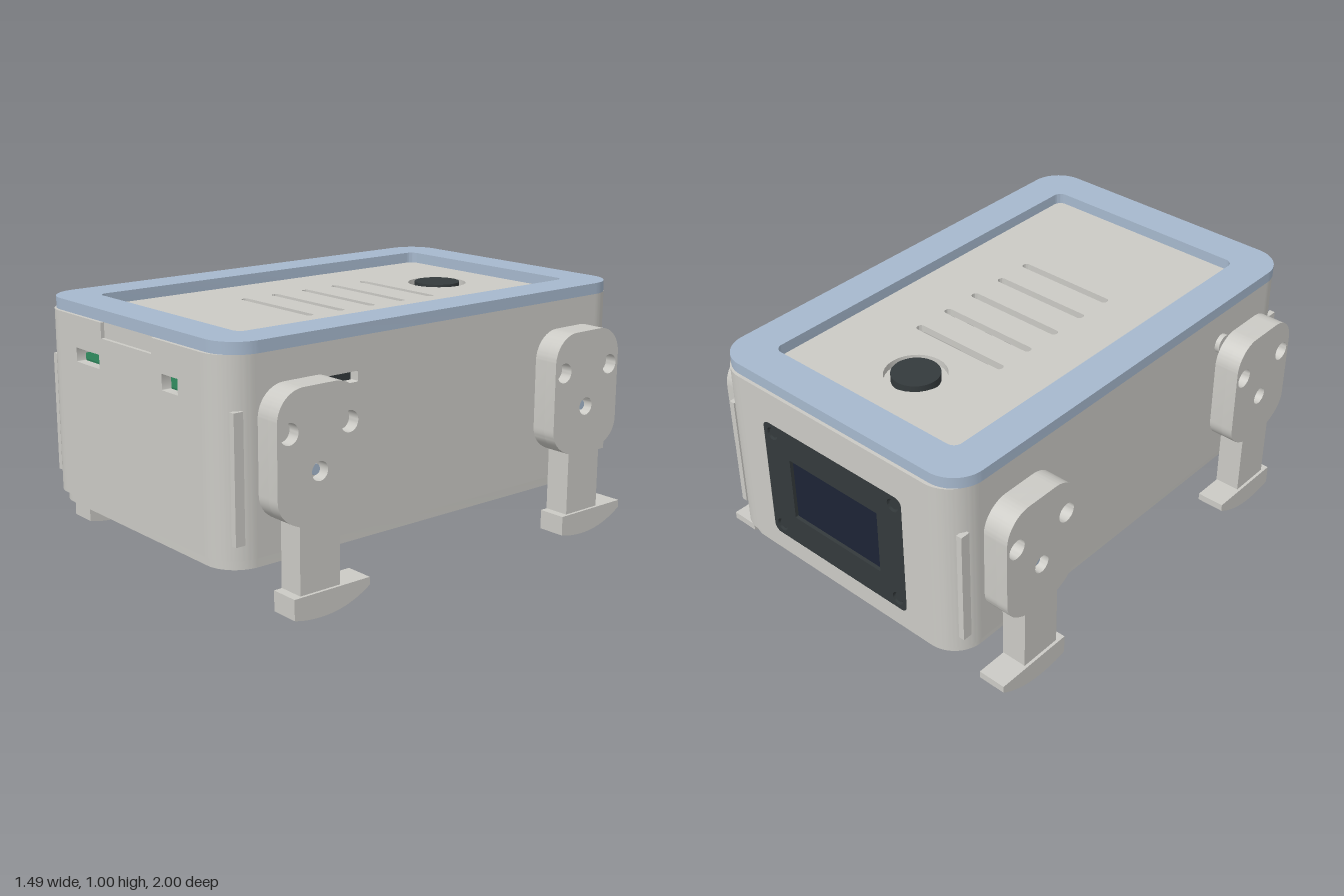
import * as THREE from 'three';
import { toCreasedNormals } from 'three/addons/utils/BufferGeometryUtils.js';

const mat = (name, color) => {
  const m = new THREE.MeshStandardMaterial({ color });
  m.name = name;
  return m;
};

// Rounded rectangle centred on (cx, cy)
function rounded(cx, cy, w, h, r, P = THREE.Shape) {
  const p = new P(), a = w / 2 - r, b = h / 2 - r;
  p.moveTo(cx + a + r, cy - b);
  p.absarc(cx + a, cy + b, r, 0, Math.PI / 2);
  p.absarc(cx - a, cy + b, r, Math.PI / 2, Math.PI);
  p.absarc(cx - a, cy - b, r, Math.PI, Math.PI * 1.5);
  p.absarc(cx + a, cy - b, r, Math.PI * 1.5, Math.PI * 2);
  return p;
}
const hole = (cx, cy, w, h, r) => rounded(cx, cy, w, h, r, THREE.Path);
const roundHole = (cx, cy, r) => new THREE.Path().absarc(cx, cy, r, 0, Math.PI * 2);
const polygon = pts => new THREE.Shape(pts.map(p => new THREE.Vector2(...p)));

const extrude = (shape, depth) =>
  new THREE.ExtrudeGeometry(shape, { depth, bevelEnabled: false, curveSegments: 14 });
// Shape in (x, z), thick in y
const flat = (s, y0, y1) => toCreasedNormals(extrude(s, y1 - y0).rotateX(Math.PI / 2).translate(0, y1, 0), 0.5);
// Shape in (x, y), thick in z
const facing = (s, z0, z1) => toCreasedNormals(extrude(s, z1 - z0).translate(0, 0, z0), 0.5);
// Shape in (z, y), thick in x
const sideways = (s, x0, x1) => toCreasedNormals(extrude(s, x1 - x0).rotateY(-Math.PI / 2).translate(x1, 0, 0), 0.5);

export function createModel() {
  const grey = mat('warm grey plastic', 0xcbcac5);
  const blue = mat('pale blue plastic', 0xa6b8cd);
  const dark = mat('charcoal', 0x343a3c);
  const green = mat('circuit green', 0x2a7d55);
  const navy = mat('screen navy', 0x1c2335);

  const model = new THREE.Group();
  const add = (name, geo, material, parent = model) => {
    const m = new THREE.Mesh(geo, material);
    m.name = name;
    parent.add(m);
    return m;
  };
  const box = (name, x0, x1, y0, y1, z0, z1, material) =>
    add(name, new THREE.BoxGeometry(x1 - x0, y1 - y0, z1 - z0)
      .translate((x0 + x1) / 2, (y0 + y1) / 2, (z0 + z1) / 2), material);
  const disc = (name, r, x0, x1, y, z, material) =>
    add(name, new THREE.CylinderGeometry(r, r, x1 - x0, 28)
      .rotateZ(Math.PI / 2).translate((x0 + x1) / 2, y, z), material);

  const W = 0.607, D = 1, R = 0.132, T = 0.04, Y0 = 0.22, Y1 = 0.955;
  const wx = W - R, wz = D - R;

  // Case corners and the guide ribs on them
  [[1, 1, 0], [-1, 1, 1], [-1, -1, 2], [1, -1, 3]].forEach(([sx, sz, q]) => {
    const s = new THREE.Shape(), a = q * Math.PI / 2, b = a + Math.PI / 2;
    s.absarc(sx * wx, sz * wz, R, a, b);
    s.absarc(sx * wx, sz * wz, R - T, b, a, true);
    add('caseCorner', flat(s, Y0, Y1), grey);
    box('cornerRib', sx * 0.595 - 0.012, sx * 0.595 + 0.012, 0.28, 0.76, sz * 0.94 - 0.02, sz * 0.94 + 0.02, grey);
  });

  // Front wall with a latch notch and two ports
  const front = polygon([[-wx, Y0], [wx, Y0], [wx, Y1], [0.17, Y1], [0.17, 0.895], [-0.17, 0.895], [-0.17, Y1], [-wx, Y1]]);
  front.holes.push(hole(-0.272, 0.802, 0.165, 0.055, 0.003), hole(0.283, 0.805, 0.1, 0.06, 0.003));
  add('frontWall', facing(front, D - T, D), grey);
  box('latchTab', -0.18, 0.18, 0.885, 0.955, D - T - 0.01, D - 0.015, grey);

  // Back wall with the display opening
  const back = rounded(0, (Y0 + Y1) / 2, wx * 2, Y1 - Y0, 0.001);
  back.holes.push(hole(0, 0.55, 0.72, 0.53, 0.03));
  add('backWall', facing(back, -D, -D + T), grey);

  // Side walls, one with a card slot
  for (const side of [1, -1]) {
    const wall = rounded(0, (Y0 + Y1) / 2, wz * 2, Y1 - Y0, 0.001);
    if (side > 0) wall.holes.push(hole(0.485, 0.805, 0.15, 0.04, 0.003));
    add('sideWall', side > 0 ? sideways(wall, W - T, W) : sideways(wall, -W, -W + T), grey);
  }
  disc('sideKnob', 0.04, -0.627, -0.59, 0.805, 0.56, grey);

  // Display: bezel with screw holes and a sunken screen
  const bezel = rounded(0, 0.55, 0.72, 0.53, 0.03);
  bezel.holes.push(hole(0, 0.55, 0.46, 0.275, 0.004));
  for (const x of [-0.315, 0.315]) for (const y of [0.33, 0.77]) {
    bezel.holes.push(roundHole(x, y, 0.027));
    add('bezelScrew', new THREE.CylinderGeometry(0.02, 0.02, 0.02, 20)
      .rotateX(Math.PI / 2).translate(x, y, -0.982), dark);
  }
  add('displayBezel', facing(bezel, -0.999, -0.97), dark);
  box('displayBacking', -0.36, 0.36, 0.285, 0.815, -0.975, -0.96, dark);
  box('screen', -0.23, 0.23, 0.4125, 0.6875, -0.984, -0.97, navy);

  // Base plate with vents and screw holes
  const base = rounded(0, 0, 1.185, 1.965, 0.13);
  for (let i = 0; i < 4; i++) base.holes.push(hole(0, 0.06 - i * 0.105, 0.98, 0.04, 0.018));
  for (const x of [-0.33, 0.33]) for (const z of [-0.65, -0.37, 0.82]) {
    base.holes.push(roundHole(x, z, 0.03));
    add('baseScrew', new THREE.CylinderGeometry(0.032, 0.032, 0.02, 20).translate(x, 0.21, z), grey);
  }
  add('basePlate', flat(base, 0.18, 0.222), grey);

  // Lid frame
  const frame = rounded(0, 0, 1.232, 1.972, 0.13);
  frame.holes.push(hole(0, 0, 0.924, 1.66, 0.035));
  add('lidFrame', flat(frame, Y1, 1), blue);

  // Sunken lid panel with vent slots and the button well
  const panel = rounded(0, 0, 1.16, 1.94, 0.11);
  for (const z of [-0.315, -0.157, 0, 0.157, 0.31]) panel.holes.push(hole(0, z, 0.44, 0.034, 0.016));
  panel.holes.push(roundHole(0, -0.55, 0.122));
  add('lidPanel', flat(panel, 0.925, 0.9545), grey);
  add('buttonWell', new THREE.CylinderGeometry(0.125, 0.125, 0.015, 40).translate(0, 0.919, -0.55), grey);
  add('button', new THREE.CylinderGeometry(0.095, 0.095, 0.04, 40).translate(0, 0.94, -0.55), dark);

  // Circuit boards and the parts seen through the openings
  const board = polygon([[-0.48, -0.42], [0.48, -0.42], [0.48, -0.23], [-0.03, -0.23],
    [-0.03, 0.24], [0.48, 0.24], [0.48, 0.94], [-0.48, 0.94]]);
  add('circuitBoard', flat(board, 0.75, 0.772), green);
  box('chip', 0.055, 0.13, 0.77, 0.8, -0.35, -0.28, dark);
  for (const x of [0.005, 0.03]) box('pin', x - 0.006, x + 0.006, 0.77, 0.8, -0.35, -0.28, dark);
  for (const x of [-0.1, 0.12]) box('smallChip', x - 0.008, x + 0.008, 0.77, 0.785, 0.3, 0.32, dark);
  box('innerSocket', -0.345, -0.195, 0.772, 0.85, 0.5, 0.55, blue);
  box('powerSocket', 0.23, 0.335, 0.772, 0.822, 0.8, 0.86, dark);
  box('cardReader', 0.5, 0.555, 0.772, 0.835, 0.4, 0.57, dark);

  // Four legs
  const legOutline = z => {
    const s = new THREE.Shape();
    s.moveTo(z - 0.09, 0.09);
    s.lineTo(z + 0.09, 0.09);
    s.lineTo(z + 0.09, 0.35);
    s.quadraticCurveTo(z + 0.185, 0.385, z + 0.185, 0.46);
    s.lineTo(z + 0.185, 0.73);
    s.absarc(z + 0.07, 0.73, 0.115, 0, Math.PI / 2);
    s.absarc(z - 0.07, 0.73, 0.115, Math.PI / 2, Math.PI);
    s.lineTo(z - 0.185, 0.46);
    s.quadraticCurveTo(z - 0.185, 0.385, z - 0.09, 0.35);
    return s;
  };
  for (const side of [1, -1]) for (const z of [0.69, -0.685]) {
    const span = (a, b) => side > 0 ? [a, b] : [-b, -a];
    add('legInner', sideways(legOutline(z), ...span(0.628, 0.685)), grey);
    const outer = legOutline(z);
    outer.holes.push(roundHole(z - 0.133, 0.69, 0.04), roundHole(z + 0.133, 0.69, 0.04), roundHole(z, 0.535, 0.036));
    add('legOuter', sideways(outer, ...span(0.685, 0.735)), grey);
    disc('pivot', 0.055, ...span(0.59, 0.64), 0.535, z, blue);
    disc('pivotPin', 0.02, ...span(0.67, 0.71), 0.535, z, blue);

    // Foot with a curved sole
    const foot = new THREE.Shape();
    foot.moveTo(z + 0.125, 0.095);
    foot.lineTo(z - 0.22, 0.095);
    foot.lineTo(z - 0.22, 0.065);
    foot.quadraticCurveTo(z - 0.12, 0.0, z, 0.0);
    foot.quadraticCurveTo(z + 0.07, 0.0, z + 0.125, 0.016);
    add('foot', sideways(foot, ...span(0.63, 0.747)), grey);
  }
  return model;
}
